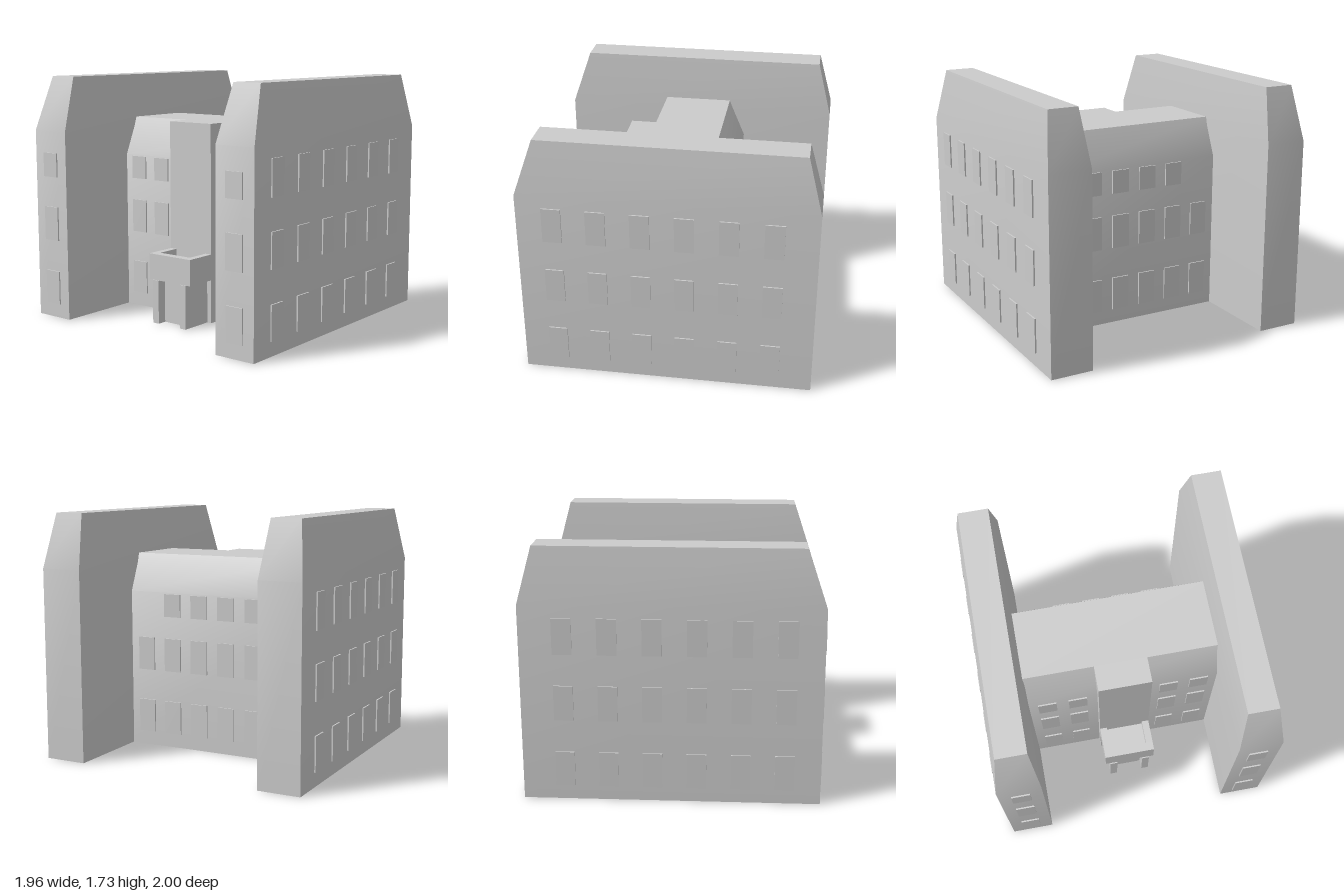
import * as THREE from 'three';
import { toCreasedNormals } from 'three/addons/utils/BufferGeometryUtils.js';

const material = new THREE.MeshStandardMaterial({ color: 0xcccccc });

function addMesh(parent, name, geometry) {
  const mesh = new THREE.Mesh(geometry, material);
  mesh.name = name;
  parent.add(mesh);
  return mesh;
}

// Box given by its extents on each axis
function addBlock(parent, name, [x0, x1], [y0, y1], [z0, z1]) {
  const mesh = addMesh(parent, name, new THREE.BoxGeometry(x1 - x0, y1 - y0, z1 - z0));
  mesh.position.set((x0 + x1) / 2, (y0 + y1) / 2, (z0 + z1) / 2);
  return mesh;
}

// Solid through rectangular sections stacked upwards: { y, x: [min, max], z: [min, max] }
function stackSections(sections) {
  const positions = [];
  const index = [];
  for (const { y, x, z } of sections) {
    positions.push(x[0], y, z[1], x[1], y, z[1], x[1], y, z[0], x[0], y, z[0]);
  }
  for (let s = 0; s < sections.length - 1; s++) {
    for (let i = 0; i < 4; i++) {
      const a = s * 4 + i;
      const b = s * 4 + (i + 1) % 4;
      index.push(a, b, b + 4, a, b + 4, a + 4);
    }
  }
  const t = (sections.length - 1) * 4;
  index.push(0, 2, 1, 0, 3, 2, t, t + 1, t + 2, t, t + 2, t + 3);
  const geometry = new THREE.BufferGeometry();
  geometry.setAttribute('position', new THREE.Float32BufferAttribute(positions, 3));
  geometry.setIndex(index);
  return toCreasedNormals(geometry, 0.6);
}

const WINDOW_WIDTH = 0.13;
const PROUD = 0.01;

// Window panel standing slightly proud of a front or back wall
function addWindow(parent, x, rows, wallZ, facing) {
  const z = [wallZ - 0.01, wallZ + 0.01].map((v) => v);
  z[facing > 0 ? 1 : 0] = wallZ + facing * PROUD;
  for (const row of rows) {
    addBlock(parent, 'window', [x - WINDOW_WIDTH / 2, x + WINDOW_WIDTH / 2], row, z);
  }
}

function createWing(side) {
  const wing = new THREE.Group();
  wing.name = side > 0 ? 'leftWing' : 'rightWing';
  const span = (inner, outer) => (side > 0 ? [inner, outer] : [-outer, -inner]);

  addMesh(wing, 'wingWalls', stackSections([
    { y: 0, x: span(0.67, 0.97), z: [-1, 0.985] },
    { y: 1.345, x: span(0.67, 0.97), z: [-1, 0.985] },
    { y: 1.725, x: span(0.71, 0.92), z: [-0.9, 0.855] },
  ]));

  // Six columns of windows along the outer wall
  for (let i = 0; i < 6; i++) {
    const z = 0.745 - i * 0.292;
    for (const row of [[0.10, 0.34], [0.565, 0.805], [1.02, 1.265]]) {
      addBlock(wing, 'sideWindow', span(0.96, 0.97 + PROUD), row,
        [z - WINDOW_WIDTH / 2, z + WINDOW_WIDTH / 2]);
    }
  }
  // One column on the front end
  addWindow(wing, side * 0.82, [[0.10, 0.34], [0.565, 0.805], [1.02, 1.19]], 0.985, 1);
  return wing;
}

function createCentralBlock() {
  const block = new THREE.Group();
  block.name = 'centralBlock';
  addMesh(block, 'centralWalls', stackSections([
    { y: 0, x: [-0.69, 0.69], z: [-0.35, 0.365] },
    { y: 1.14, x: [-0.69, 0.69], z: [-0.35, 0.365] },
    { y: 1.41, x: [-0.69, 0.69], z: [-0.235, 0.25] },
  ]));
  const lowerRows = [[0.10, 0.34], [0.565, 0.805]];
  const topRow = [0.965, 1.13];
  for (const side of [-1, 1]) {
    // Two columns on each side of the entrance
    for (const x of [0.325, 0.542]) addWindow(block, side * x, [...lowerRows, topRow], 0.365, 1);
    // Six columns on the back, the end ones without a top window
    for (const x of [0.108, 0.325]) addWindow(block, side * x, [...lowerRows, topRow], -0.35, -1);
    addWindow(block, side * 0.542, lowerRows, -0.35, -1);
  }
  return block;
}

function createEntrance() {
  const entrance = new THREE.Group();
  entrance.name = 'entrance';
  addBlock(entrance, 'stairTower', [-0.185, 0.185], [0, 1.41], [0.2, 0.43]);
  addBlock(entrance, 'vestibule', [-0.15, 0.15], [0, 0.32], [0.42, 0.6]);
  addBlock(entrance, 'door', [-0.085, 0.085], [0.025, 0.31], [0.59, 0.61]);

  // Balcony over the door with a parapet on three sides
  addBlock(entrance, 'balconyFloor', [-0.185, 0.185], [0.31, 0.44], [0.42, 0.66]);
  addBlock(entrance, 'frontParapet', [-0.185, 0.185], [0.44, 0.495], [0.6, 0.66]);
  for (const side of [-1, 1]) {
    const span = (a, b) => (side > 0 ? [a, b] : [-b, -a]);
    addBlock(entrance, 'sideParapet', span(0.135, 0.185), [0.44, 0.495], [0.42, 0.6]);
    addBlock(entrance, 'pillar', span(0.097, 0.15), [0, 0.31], [0.59, 0.668]);
  }
  return entrance;
}

export function createModel() {
  const model = new THREE.Group();
  model.name = 'building';
  model.add(createWing(1), createWing(-1), createCentralBlock(), createEntrance());
  return model;
}
